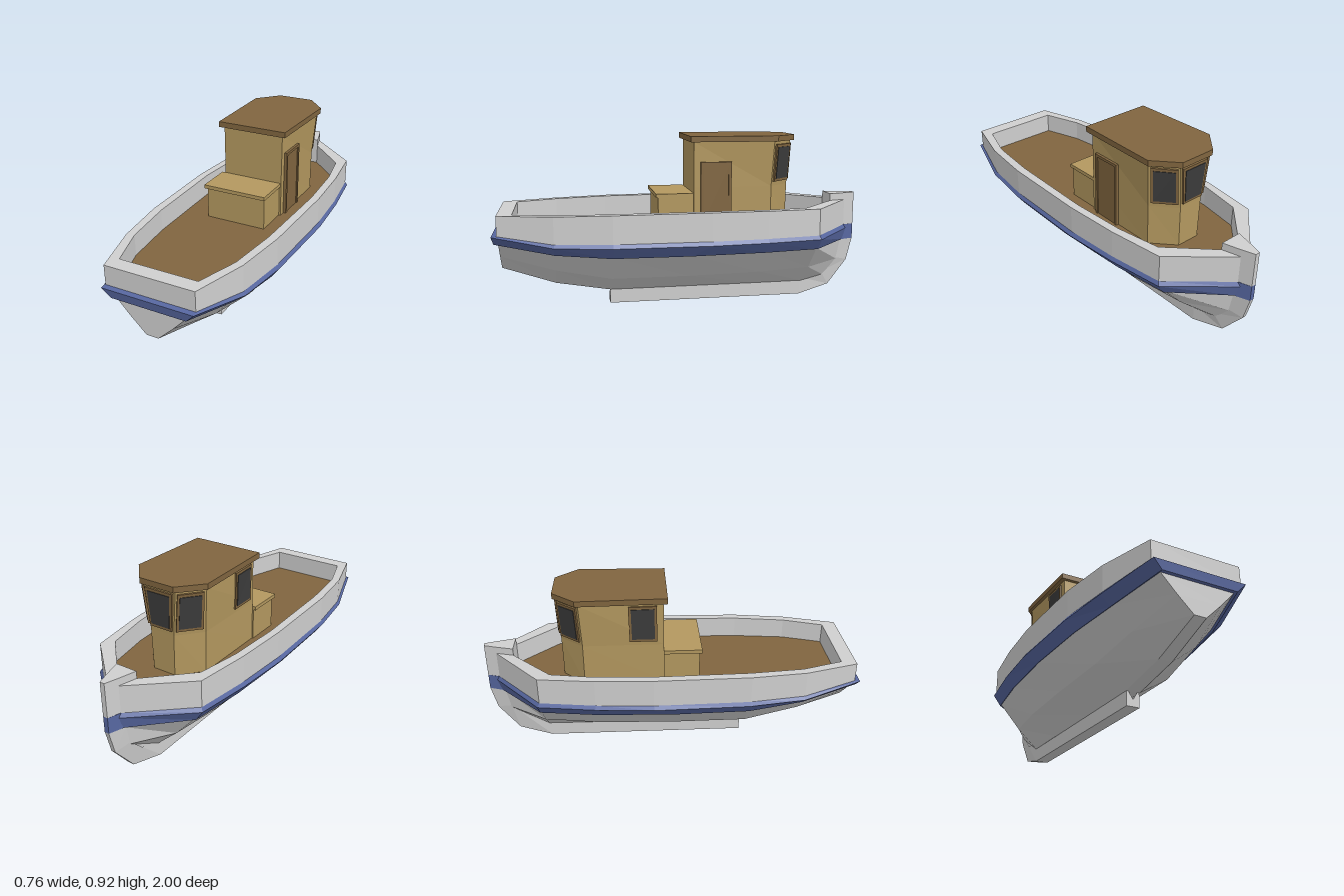
import * as THREE from 'three';

const paint = (name, color) => {
  const m = new THREE.MeshStandardMaterial({ color });
  m.name = name;
  return m;
};

export function createModel() {
  const boat = new THREE.Group();
  boat.name = 'fishingBoat';
  const white = paint('hullWhite', 0xcfcfcf);
  const blue = paint('beltBlue', 0x5767a0);
  const tan = paint('cabinTan', 0xb3985f);
  const brown = paint('woodBrown', 0x80653f);
  const dark = paint('windowGlass', 0x3c3c3c);

  const add = (name, geometry, material, parent = boat) => {
    const mesh = new THREE.Mesh(geometry, material);
    mesh.name = name;
    parent.add(mesh);
    return mesh;
  };

  // Flat-faceted skin stretched between successive lines of points
  const skin = (lines) => {
    const out = [];
    for (let i = 0; i + 1 < lines.length; i++) {
      for (let j = 0; j + 1 < lines[i].length; j++) {
        const a = lines[i][j], b = lines[i][j + 1];
        const d = lines[i + 1][j], c = lines[i + 1][j + 1];
        out.push(...a, ...d, ...c, ...a, ...c, ...b);
      }
    }
    const g = new THREE.BufferGeometry();
    g.setAttribute('position', new THREE.Float32BufferAttribute(out, 3));
    g.computeVertexNormals();
    return g;
  };

  // Mirrors a half line of [x, y, z] so it runs bow, stern, bow
  const both = (half) => [...half, ...half.map(([x, y, z]) => [-x, y, z]).reverse()];

  // Horizontal slab from a mirrored half outline of [x, z]
  const slab = (half, y, height) => {
    const pts = both(half.map(([x, z]) => [x, 0, z])).map(([x, , z]) => new THREE.Vector2(x, -z));
    const g = new THREE.ExtrudeGeometry(new THREE.Shape(pts), { depth: height, bevelEnabled: false });
    return g.rotateX(-Math.PI / 2).translate(0, y, 0);
  };

  const box = (name, x0, x1, y0, y1, z0, z1, mat, parent) =>
    add(name, new THREE.BoxGeometry(x1 - x0, y1 - y0, z1 - z0)
      .translate((x0 + x1) / 2, (y0 + y1) / 2, (z0 + z1) / 2), mat, parent);

  // Hull lines, each from bow to stern
  const keelLine = [[.03, .11, -.82], [.035, .08, -.69], [.038, .08, -.4], [.038, .08, 0], [.038, .08, .4], [.036, .13, .69], [.032, .225, .97]];
  const centre = keelLine.map(([, y, z]) => [0, y, z]);
  const chine = [[.03, .2, -.9], [.155, .19, -.69], [.19, .185, -.4], [.205, .183, 0], [.205, .185, .4], [.175, .235, .69], [.115, .305, .97]];
  const hullTop = [[.03, .315, -.925], [.275, .325, -.69], [.31, .325, -.4], [.328, .325, 0], [.318, .325, .4], [.27, .345, .69], [.195, .39, .97]];
  const beltLow = [[.035, .315, -.93], [.28, .32, -.695], [.317, .32, -.4], [.335, .32, 0], [.325, .32, .4], [.28, .338, .69], [.2, .388, .992]];
  const beltOut = [[.035, .38, -.95], [.322, .38, -.7], [.362, .38, -.4], [.382, .38, -.1], [.37, .38, .4], [.335, .385, .69], [.245, .434, 1]];
  const beltTop = [[.035, .4, -.935], [.312, .4, -.69], [.35, .4, -.4], [.368, .4, -.1], [.358, .4, .4], [.322, .402, .69], [.24, .437, .972]];
  const railOut = [[.035, .545, -.935], [.312, .542, -.69], [.35, .545, -.4], [.368, .548, -.1], [.358, .546, .4], [.322, .542, .69], [.24, .54, .972]];
  const railIn = [[.055, .545, -.845], [.265, .542, -.63], [.307, .545, -.4], [.326, .548, -.1], [.312, .546, .4], [.28, .542, .68], [.21, .54, .895]];
  const deckEdge = railIn.map(([x, , z]) => [x, .43, z]);

  add('lowerHull', skin([centre, keelLine, chine, hullTop].map(both)), white);
  add('belt', skin([hullTop, beltLow, beltOut, beltTop].map(both)), blue);
  add('bulwark', skin([beltTop, railOut, railIn, deckEdge].map(both)), white);
  add('deck', slab(deckEdge.map(([x, , z]) => [x, z]), .42, .01), brown);

  // Keel sweeping up into the stem: half width, y, z of inner and outer edges
  const inner = [[0, .04, .4], [.036, .1, .4], [.036, .1, -.68], [.036, .13, -.81], [.036, .21, -.89], [.038, .315, -.915]];
  const outer = [[0, .04, .4], [.036, .003, .4], [.036, .003, -.68], [.018, .05, -.86], [.012, .19, -.97], [.012, .315, -1]];
  const flip = (line) => line.map(([x, y, z]) => [-x, y, z]);
  add('keel', skin([inner, outer, flip(outer), flip(inner)]), white);
  add('stemBelt', slab([[.013, -1], [.045, -.91]], .315, .085), blue);
  add('stemPost', slab([[.013, -1], [.035, -.93], [.06, -.84]], .4, .183), white);

  // Wheelhouse walls, flaring out above the sill
  const cabin = new THREE.Group();
  cabin.name = 'wheelhouse';
  boat.add(cabin);
  const ring = (y, front, side, back) => {
    const r = both([front, side, back].map(([x, z]) => [x, y, z]));
    return [...r, r[0]];
  };
  const foot = ring(.43, [.065, -.575], [.17, -.46], [.17, -.04]);
  const sill = ring(.65, [.07, -.577], [.172, -.46], [.17, -.04]);
  const head = ring(.89, [.095, -.585], [.19, -.47], [.172, -.04]);
  add('cabinWalls', skin([foot, sill, head]), tan, cabin);
  add('cabinRoof', slab([[.1, -.605], [.207, -.485], [.195, -.02]], .89, .03), brown, cabin);

  // Raised panel on a wall between ring corners i (left) and k (right)
  const panel = (name, i, k, u0, u1, v0, v1, lift, mat) => {
    const V = (p) => new THREE.Vector3(...p);
    const at = (u, v) => V(sill[i]).lerp(V(sill[k]), u).lerp(V(head[i]).lerp(V(head[k]), u), v);
    const loop = [at(u0, v0), at(u0, v1), at(u1, v1), at(u1, v0)];
    loop.push(loop[0]);
    const n = loop[3].clone().sub(loop[0]).cross(loop[1].clone().sub(loop[0])).normalize();
    const raised = loop.map((p) => p.clone().addScaledVector(n, lift));
    const mid = raised[0].clone().lerp(raised[2], .5);
    const lines = [loop, raised, raised.map(() => mid)].map((l) => l.map((p) => p.toArray()));
    add(name, skin(lines), mat, cabin);
  };
  const windows = [
    ['front', 0, 5, .06, .94], ['leftQuarter', 1, 0, .08, .94],
    ['rightQuarter', 5, 4, .06, .92], ['rightSide', 4, 3, .58, .92],
  ];
  for (const [name, i, k, u0, u1] of windows) {
    const w = (u1 - u0) * .09;
    panel(name + 'WindowFrame', i, k, u0, u1, .1, .93, .01, brown);
    panel(name + 'WindowGlass', i, k, u0 + w, u1 - w, .16, .87, .013, dark);
  }

  // Side door with a raised frame
  box('door', .16, .18, .43, .785, -.24, -.075, brown, cabin);
  box('doorFrameTop', .16, .186, .77, .785, -.24, -.075, brown, cabin);
  for (const z of [-.24, -.09]) box('doorFramePost', .16, .186, .43, .77, z, z + .015, brown, cabin);

  // Locker behind the wheelhouse
  box('locker', -.177, .16, .43, .6, -.04, .148, tan);
  box('lockerLid', -.19, .167, .6, .62, -.04, .16, tan);

  return boat;
}
